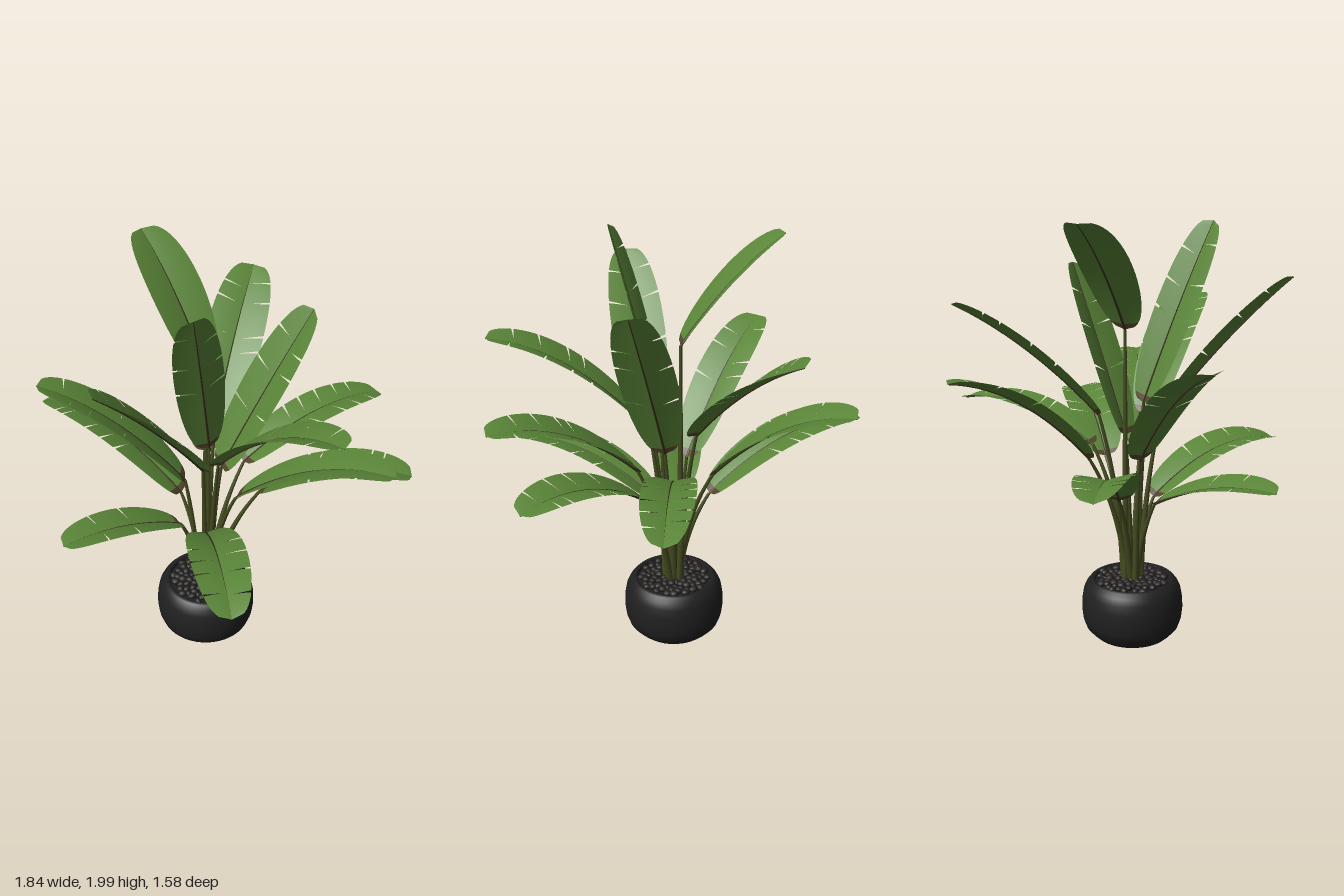
import * as THREE from 'three';
import { mergeGeometries } from 'three/addons/utils/BufferGeometryUtils.js';

const V = (x, y, z) => new THREE.Vector3(x, y, z);
const UP = V(0, 1, 0);

function seeded(seed) {
  return () => {
    seed = (seed * 16807) % 2147483647;
    return seed / 2147483647;
  };
}

const material = (name, color, side = THREE.FrontSide) => {
  const m = new THREE.MeshStandardMaterial({ color, side });
  m.name = name;
  return m;
};

const mesh = (name, geometry, mat) => {
  const m = new THREE.Mesh(geometry, mat);
  m.name = name;
  return m;
};

// Tube whose radius runs from r0 to r1
function taperedTube(curve, r0, r1, steps, sides) {
  const g = new THREE.TubeGeometry(curve, steps, 1, sides);
  const p = g.attributes.position;
  const v = V(0, 0, 0);
  for (let i = 0; i <= steps; i++) {
    const c = curve.getPointAt(i / steps);
    const r = r0 + (r1 - r0) * (i / steps);
    for (let j = 0; j <= sides; j++) {
      const k = i * (sides + 1) + j;
      v.fromBufferAttribute(p, k).sub(c).multiplyScalar(r).add(c);
      p.setXYZ(k, v.x, v.y, v.z);
    }
  }
  return g;
}

// Strip of half a blade between t0 and t1, open at the slits on either end
function bladeStrip(curve, hint, halfWidth, sign, t0, t1, gap0, gap1) {
  const cols = [0, 0.2, 0.45, 0.75, 1];
  const rows = Math.max(4, Math.ceil((t1 - t0) * 40));
  const pos = [], idx = [];
  for (let i = 0; i <= rows; i++) {
    const f = i / rows;
    for (const u of cols) {
      const open = Math.max(0, u - 0.3);
      const a = t0 + gap0 * open, b = t1 - gap1 * open;
      let t = a + (b - a) * f;
      t += 0.035 * u * Math.sin(Math.PI * t);
      t = Math.min(1, Math.max(0, t));
      const d = curve.getTangent(t);
      const s = hint.clone().addScaledVector(d, -hint.dot(d)).normalize();
      const n = s.clone().cross(d);
      const w = halfWidth * Math.pow(Math.max(0, 4 * t * (1 - t)), 0.34);
      const lift = w * (0.32 * u - 0.1 * u * u);
      const p = curve.getPoint(t).addScaledVector(s, sign * w * u).addScaledVector(n, lift);
      pos.push(p.x, p.y, p.z);
    }
  }
  const nc = cols.length;
  for (let i = 0; i < rows; i++) {
    for (let j = 0; j < nc - 1; j++) {
      const a = i * nc + j, b = a + 1, c = a + nc, e = c + 1;
      if (sign > 0) idx.push(a, b, c, b, e, c);
      else idx.push(a, c, b, b, c, e);
    }
  }
  const g = new THREE.BufferGeometry();
  g.setAttribute('position', new THREE.Float32BufferAttribute(pos, 3));
  g.setIndex(idx);
  g.computeVertexNormals();
  return g;
}

// Blade base, tip, arch height, half width, slits per side, roll, optional side direction
const LEAVES = [
  { base: [-0.06, 0.92, -0.18], tip: [-0.33, 1.34, -0.78], arch: 0.085, width: 0.125, cuts: 2, roll: -0.12 },
  { base: [0.0, 1.11, -0.13], tip: [-0.03, 1.63, -0.77], arch: 0.05, width: 0.135, cuts: 4, roll: -0.2 },
  { base: [0.14, 0.93, -0.15], tip: [0.63, 1.06, -0.76], arch: 0.08, cuts: 5, roll: 0 },
  { base: [0.25, 0.84, -0.08], tip: [0.92, 1.03, -0.18], arch: 0.085, width: 0.125, cuts: 4, roll: 0.06 },
  { base: [0.18, 0.9, 0.08], tip: [0.89, 1.25, 0.14], arch: 0.095, width: 0.125, cuts: 4, roll: 0.08 },
  { base: [0.1, 1.08, 0.1], tip: [0.72, 1.56, 0.43], arch: 0.095, width: 0.125, cuts: 4, roll: 0.06 },
  { base: [0.05, 0.69, 0.13], tip: [0.4, 0.87, 0.78], arch: 0.09, width: 0.125, cuts: 4, roll: -0.06 },
  { base: [0.05, 1.08, 0.16], tip: [-0.19, 1.75, 0.7], arch: 0.035, width: 0.125, cuts: 3, roll: 0.15 },
  { base: [-0.08, 0.7, 0.12], tip: [-0.44, 0.85, 0.6], arch: 0.05, cuts: 2, roll: -0.08 },
  { base: [-0.08, 0.91, 0.05], tip: [-0.68, 1.43, 0.27], arch: 0.075, width: 0.12, cuts: 3, roll: -0.04 },
  { base: [-0.14, 0.74, -0.05], tip: [-0.92, 1.0, -0.22], arch: 0.095, width: 0.125, cuts: 5, roll: -0.08 },
  { base: [0.0, 1.5, -0.01], tip: [-0.38, 1.99, -0.24], arch: 0.045, width: 0.13, cuts: 0, roll: 0 },
  { base: [0.08, 0.99, 0.0], tip: [0.41, 1.76, -0.22], arch: 0.015, width: 0.125, cuts: 3, side: [0.75, 0, 0.55] },
  { base: [0.05, 1.15, 0.08], tip: [0.1, 1.97, 0.4], arch: 0.025, width: 0.11, cuts: 3, side: [-0.7, 0, 0.7] },
];

export function createModel() {
  const model = new THREE.Group();
  model.name = 'pottedPlant';
  const leafMat = material('leafGreen', 0x5a8538, THREE.DoubleSide);
  const baseMat = material('witheredBrown', 0x54442a, THREE.DoubleSide);
  const stalkMat = material('stalkOlive', 0x454c20);
  const ribMat = material('ribBrown', 0x37311a);
  const potMat = material('potBlack', 0x202021, THREE.DoubleSide);
  const stoneMat = material('stoneBlack', 0x211f1e);
  const rand = seeded(4711);
  const centre = V(0.014, 0, 0.026);

  // Round pot with a turned-in rim
  const pot = new THREE.Group();
  pot.name = 'pot';
  pot.position.copy(centre);
  const profile = [[0, 0.014], [0.13, 0.012], [0.15, 0.006], [0.175, 0.012], [0.195, 0.03], [0.222, 0.06],
    [0.236, 0.1], [0.242, 0.15], [0.24, 0.2], [0.232, 0.245], [0.218, 0.275], [0.2, 0.296],
    [0.186, 0.3], [0.178, 0.293], [0.176, 0.26]].map(([r, y]) => new THREE.Vector2(r, y));
  pot.add(mesh('potBody', new THREE.LatheGeometry(profile, 48), potMat));
  const soil = new THREE.CylinderGeometry(0.18, 0.18, 0.02, 32);
  soil.translate(0, 0.272, 0);
  pot.add(mesh('soil', soil, stoneMat));

  // Pebbles spread in a sunflower pattern
  const stones = [];
  for (let i = 0; i < 90; i++) {
    const r = 0.165 * Math.sqrt((i + 0.5) / 90), a = i * 2.39996;
    const g = new THREE.IcosahedronGeometry(0.018 + 0.006 * rand(), 1);
    g.scale(1, 0.65, 0.85);
    g.rotateY(rand() * 6);
    g.translate(r * Math.cos(a), 0.289 + 0.012 * rand(), r * Math.sin(a));
    stones.push(g);
  }
  pot.add(mesh('pebbles', mergeGeometries(stones), stoneMat));
  model.add(pot);

  LEAVES.forEach(({ base, tip, arch, width = 0.115, cuts, roll, side }, n) => {
    const leaf = new THREE.Group();
    leaf.name = `leaf${n + 1}`;
    const b = V(...base), e = V(...tip);
    const mid = b.clone().lerp(e, 0.5).addScaledVector(UP, 2 * arch);
    const spine = new THREE.QuadraticBezierCurve3(b, mid, e);
    const hint = side ? V(...side) : e.clone().sub(b).cross(UP).normalize().addScaledVector(UP, roll);

    // Stalk rising from the cluster and bending out to the blade
    const out = V(b.x - centre.x, 0, b.z - centre.z).normalize();
    const foot = V(centre.x, 0.27, centre.z).addScaledVector(out, 0.02 + 0.018 * (n % 2));
    const bend = V(foot.x + (b.x - foot.x) * 0.22, foot.y + (b.y - foot.y) * 0.6, foot.z + (b.z - foot.z) * 0.22);
    const stalk = new THREE.QuadraticBezierCurve3(foot, bend, b);
    leaf.add(mesh('stalk', taperedTube(stalk, 0.018, 0.007, 16, 7), stalkMat));

    // Midrib, sitting mostly below the blade
    const rib = mesh('midrib', taperedTube(spine, 0.006, 0.002, 18, 6), ribMat);
    rib.position.y = -0.002;
    leaf.add(rib);

    // Torn blade halves, with a brown patch at the base
    const green = [], brown = [];
    for (const sign of [1, -1]) {
      const stops = [0.035];
      for (let i = 0; i < cuts; i++) stops.push(0.28 + (0.62 * (i + 0.2 + 0.6 * rand())) / cuts);
      stops.push(1);
      brown.push(bladeStrip(spine, hint, width, sign, 0, stops[0], 0, 0));
      for (let i = 0; i + 1 < stops.length; i++) {
        const gap0 = i ? 0.01 : 0, gap1 = i + 2 < stops.length ? 0.01 : 0;
        green.push(bladeStrip(spine, hint, width, sign, stops[i], stops[i + 1], gap0, gap1));
      }
    }
    leaf.add(mesh('blade', mergeGeometries(green), leafMat));
    leaf.add(mesh('bladeBase', mergeGeometries(brown), baseMat));
    model.add(leaf);
  });
  return model;
}
